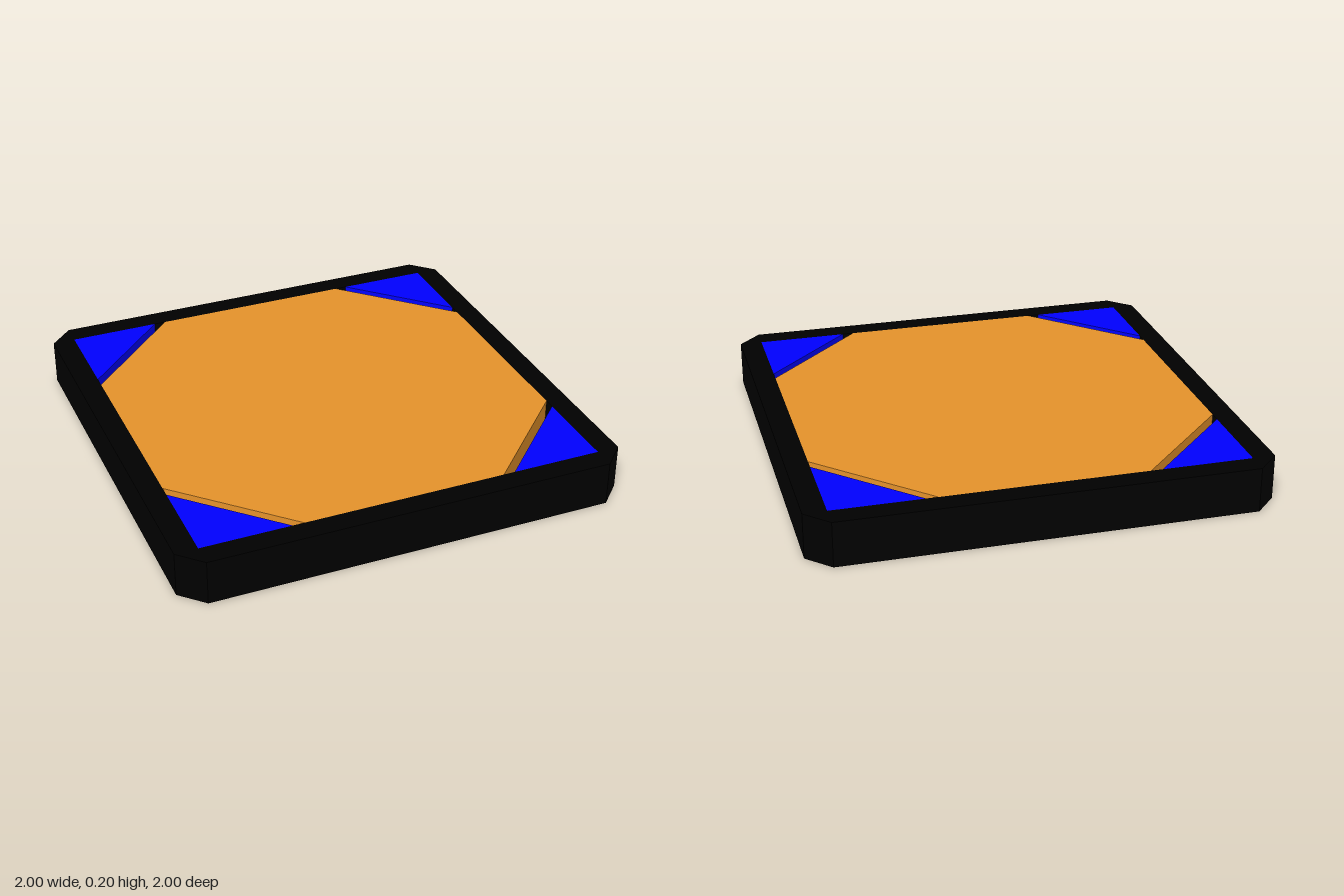
import * as THREE from 'three';

const HEIGHT = 0.2;
const INNER = 0.9; // half-width of the frame opening

// Square outline of half-width r with its corners cut back by c
function cutSquare(r, c) {
  const k = r - c;
  return [[r, -k], [r, k], [k, r], [-k, r], [-r, k], [-r, -k], [-k, -r], [k, -r]]
    .map(([x, y]) => new THREE.Vector2(x, y));
}

// Flat outline raised to a slab standing on y = 0
function slab(name, shape, color) {
  const geometry = new THREE.ExtrudeGeometry(shape, { depth: HEIGHT, bevelEnabled: false });
  geometry.rotateX(-Math.PI / 2);
  const mesh = new THREE.Mesh(geometry, new THREE.MeshStandardMaterial({ color }));
  mesh.name = name;
  return mesh;
}

export function createModel() {
  const model = new THREE.Group();
  model.name = 'framedTile';

  // Outer frame with chamfered corners and a square opening
  const frame = new THREE.Shape(cutSquare(1, 0.1));
  frame.holes.push(new THREE.Path([[-1, -1], [-1, 1], [1, 1], [1, -1]]
    .map(([x, y]) => new THREE.Vector2(x * INNER, y * INNER))));
  model.add(slab('frame', frame, 0x000000));

  // Octagonal centre panel
  model.add(slab('centrePanel', new THREE.Shape(cutSquare(INNER, 0.45)), 0xe6932b));

  // Triangular corner inserts, separated from the panel by a narrow slot
  const triangle = new THREE.Shape([
    new THREE.Vector2(INNER, INNER),
    new THREE.Vector2(0.5, INNER),
    new THREE.Vector2(INNER, 0.5),
  ]);
  for (let i = 0; i < 4; i++) {
    const insert = slab('cornerInsert' + (i + 1), triangle, 0x0000ff);
    insert.rotation.y = i * Math.PI / 2;
    model.add(insert);
  }

  return model;
}
